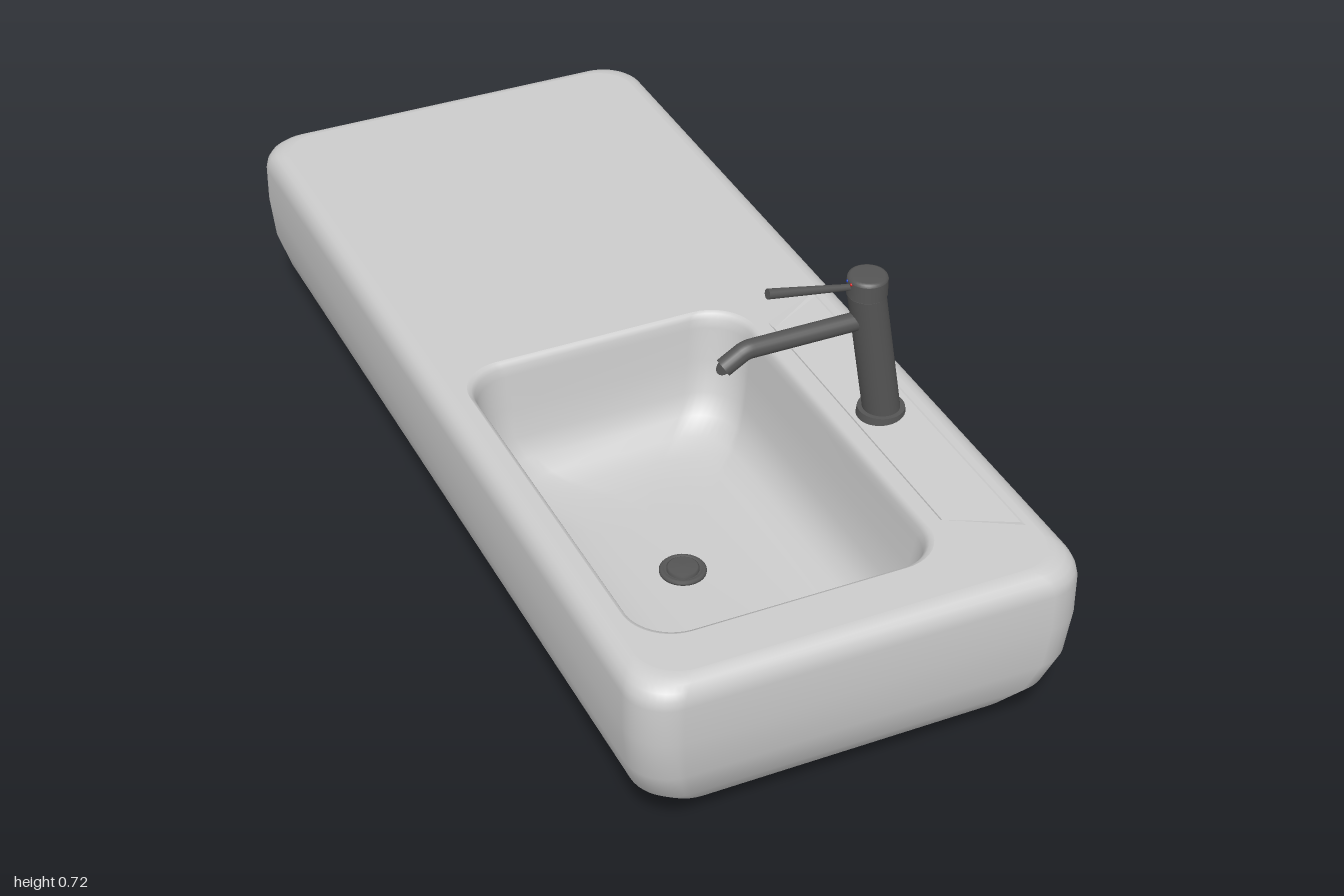
import * as THREE from 'three';

const TOP = 0.39;
const TAP_Z = 0.43;
const ceramic = new THREE.MeshStandardMaterial({ color: 0xcccccc });
const ceramicThin = new THREE.MeshStandardMaterial({ color: 0xcccccc, side: THREE.DoubleSide, flatShading: true });
const metal = new THREE.MeshStandardMaterial({ color: 0x555555 });
const metalThin = new THREE.MeshStandardMaterial({ color: 0x555555, side: THREE.DoubleSide });

// Points (x, z) round a rounded rectangle
function roundedRing(cx, cz, hx, hz, r, n = 10) {
  const pts = [];
  [[1, 1], [-1, 1], [-1, -1], [1, -1]].forEach(([sx, sz], k) => {
    for (let i = 0; i <= n; i++) {
      const a = (k + i / n) * Math.PI / 2;
      pts.push(new THREE.Vector2(cx + sx * (hx - r) + r * Math.cos(a), cz + sz * (hz - r) + r * Math.sin(a)));
    }
  });
  return pts;
}

// Skin from the top ring down to a closed floor; outward or inward facing
function shell({ cx, cz, hx, hz, r }, profile, outward) {
  const pos = [], idx = [];
  let count = 0;
  for (const [inset, y] of profile) {
    const ring = roundedRing(cx, cz, hx - inset, hz - inset, Math.min(r, hx - inset));
    count = ring.length;
    ring.forEach(p => pos.push(p.x, y, p.y));
  }
  const tri = (a, b, c) => (outward ? idx.push(a, c, b) : idx.push(a, b, c));
  const last = (profile.length - 1) * count, centre = profile.length * count;
  pos.push(cx, profile[profile.length - 1][1], cz);
  for (let i = 0; i < count; i++) {
    const j = (i + 1) % count;
    for (let k = 0; k < last; k += count) {
      tri(k + i, k + count + i, k + j);
      tri(k + j, k + count + i, k + count + j);
    }
    tri(centre, last + j, last + i);
  }
  const g = new THREE.BufferGeometry();
  g.setAttribute('position', new THREE.Float32BufferAttribute(pos, 3));
  g.setIndex(idx);
  g.computeVertexNormals();
  return g;
}

function add(parent, name, geometry, material, x = 0, y = 0, z = 0) {
  const m = new THREE.Mesh(geometry, material);
  m.name = name;
  m.position.set(x, y, z);
  parent.add(m);
  return m;
}

const lathe = pts => new THREE.LatheGeometry(pts.map(p => new THREE.Vector2(...p)), 32);

function createFaucet() {
  const f = new THREE.Group();
  f.name = 'faucet';
  f.position.z = TAP_Z;

  add(f, 'baseFlange', new THREE.CylinderGeometry(0.045, 0.047, 0.016, 32), metal, 0.316, 0.387);

  // Leaning column: a cylinder sheared so both ends stay level
  const column = new THREE.CylinderGeometry(0.036, 0.036, 0.27, 32);
  column.applyMatrix4(new THREE.Matrix4().makeShear(0, 0, -0.165, 0, 0, 0));
  const p = column.attributes.position;
  const straight = new THREE.CylinderGeometry(0.036, 0.036, 0.27, 32).attributes.position;
  for (let i = 0; i < p.count; i++) {
    p.setXYZ(i, straight.getX(i) - 0.165 * straight.getY(i), straight.getY(i), straight.getZ(i));
  }
  column.computeVertexNormals();
  add(f, 'column', column, metal, 0.295, 0.522);

  // Turning cap with a fine gap below it
  add(f, 'cap', lathe([[0, 0], [0.034, 0], [0.034, 0.003], [0.038, 0.003], [0.038, 0.003], [0.038, 0.036],
    [0.038, 0.036], [0.036, 0.041], [0.031, 0.043], [0, 0.043]]), metal, 0.273, 0.656);

  // Spout with a downturned tip
  const v = (x, y) => new THREE.Vector3(x, y, 0);
  const path = new THREE.CurvePath();
  path.add(new THREE.LineCurve3(v(0.275, 0.602), v(0.04, 0.602)));
  path.add(new THREE.QuadraticBezierCurve3(v(0.04, 0.602), v(0.028, 0.602), v(0.018, 0.595)));
  path.add(new THREE.LineCurve3(v(0.018, 0.595), v(-0.015, 0.575)));
  add(f, 'spout', new THREE.TubeGeometry(path, 60, 0.018, 20), metalThin);
  const outlet = add(f, 'outlet', new THREE.CircleGeometry(0.0178, 20), metalThin, -0.012, 0.577);
  outlet.lookAt(-0.045, 0.557, 0);

  // Slim lever, thicker towards its tip
  const a = v(0.25, 0.678), b = v(0.07, 0.711), dir = b.clone().sub(a);
  const mid = a.clone().add(b).multiplyScalar(0.5);
  const lever = add(f, 'lever', new THREE.CylinderGeometry(0.01, 0.006, dir.length(), 16), metal, mid.x, mid.y);
  lever.quaternion.setFromUnitVectors(v(0, 1), dir.normalize());

  // Hot and cold marks
  [[1, 0xcc2222, 'hotMark'], [-1, 0x2244cc, 'coldMark']].forEach(([s, color, name]) =>
    add(f, name, new THREE.SphereGeometry(0.003, 10, 8), new THREE.MeshStandardMaterial({ color }), 0.236, 0.69, s * 0.007));
  return f;
}

export function createModel() {
  const group = new THREE.Group();
  group.name = 'washbasin';

  // Outer body, bellied towards the underside
  const outer = { cx: 0, cz: 0, hx: 0.435, hz: 1, r: 0.08 };
  const outerProfile = [[0.04, TOP], [0.03, 0.389], [0.018, 0.383], [0.009, 0.374], [0.003, 0.361], [0, 0.345], [0, 0.27],
    [0.008, 0.185], [0.029, 0.12], [0.068, 0.068], [0.12, 0.03], [0.18, 0.009], [0.265, 0.001], [0.3, 0]];
  add(group, 'body', shell(outer, outerProfile, true), ceramic);

  // Bowl sunk into the front half
  const bowl = { cx: -0.075, cz: 0.433, hx: 0.297, hz: 0.437, r: 0.09 };
  const bowlProfile = [[0, TOP], [0.006, 0.387], [0.011, 0.378], [0.014, 0.36], [0.022, 0.29], [0.034, 0.225],
    [0.052, 0.185], [0.08, 0.159], [0.12, 0.144], [0.17, 0.137], [0.24, 0.134]];
  add(group, 'bowl', shell(bowl, bowlProfile, false), ceramic);

  // Flat deck with openings for the bowl and the tap ledge
  const ledge = [[0.38, 0.03], [0.38, 0.85], [0.25, 0.775], [0.25, 0.09]];
  const flip = pts => pts.map(p => new THREE.Vector2(p.x, -p.y));
  const deck = new THREE.Shape(flip(roundedRing(0, 0, outer.hx - 0.04, outer.hz - 0.04, outer.r)));
  deck.holes.push(new THREE.Path(flip(roundedRing(bowl.cx, bowl.cz, bowl.hx, bowl.hz, bowl.r))));
  deck.holes.push(new THREE.Path(ledge.map(([x, z]) => new THREE.Vector2(x, -z))));
  add(group, 'deck', new THREE.ShapeGeometry(deck).rotateX(-Math.PI / 2), ceramic, 0, TOP, 0);

  // Shallow tap ledge sloping down towards the bowl
  const rim = ledge.map(([x, z]) => [x, TOP, z]);
  const low = [[0.378, TOP - 0.002, 0.042], [0.378, TOP - 0.002, 0.838], [0.261, TOP - 0.012, 0.768], [0.261, TOP - 0.012, 0.097]];
  const g = new THREE.BufferGeometry();
  g.setAttribute('position', new THREE.Float32BufferAttribute([...rim, ...low].flat(), 3));
  const idx = [4, 6, 5, 4, 7, 6];
  for (let i = 0; i < 4; i++) {
    const j = (i + 1) % 4;
    idx.push(i, i + 4, j, j, i + 4, j + 4);
  }
  g.setIndex(idx);
  g.computeVertexNormals();
  add(group, 'tapLedge', g, ceramicThin);

  // Drain with a raised plug
  add(group, 'drainRing', lathe([[0, 0], [0.045, 0], [0.045, 0.005], [0.042, 0.008], [0.036, 0.008], [0.034, 0.005], [0, 0.005]]),
    metal, -0.09, 0.133, TAP_Z);
  add(group, 'drainPlug', lathe([[0.031, 0], [0.031, 0.009], [0.028, 0.011], [0, 0.012]]), metal, -0.09, 0.134, TAP_Z);

  group.add(createFaucet());
  return group;
}
